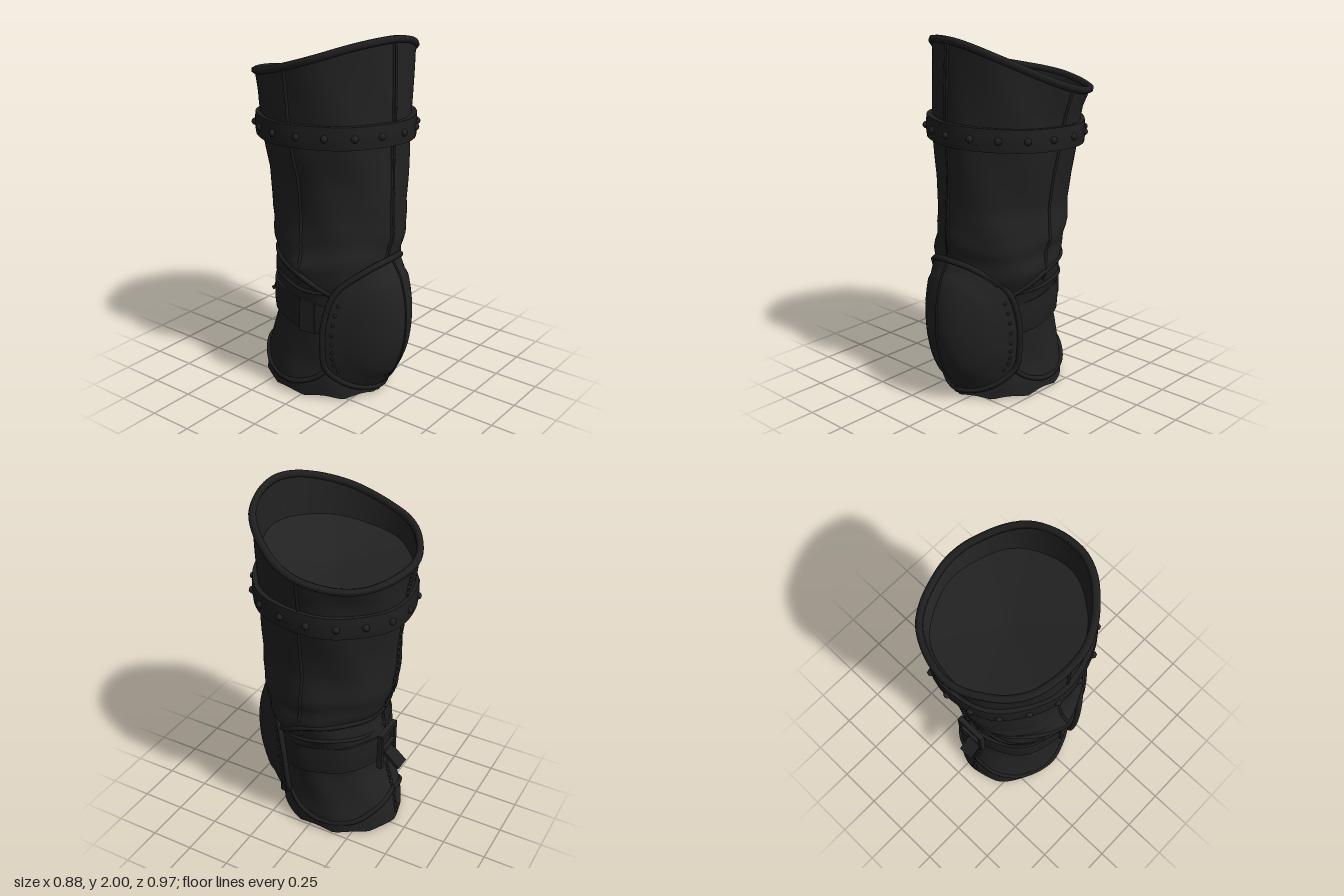
import * as THREE from 'three';
import { toCreasedNormals } from 'three/addons/utils/BufferGeometryUtils.js';

const TAU = Math.PI * 2;
const V = (x, y, z) => new THREE.Vector3(x, y, z);

// Sleeve sections: y, min x, max x, min z, max z
const SECTIONS = [
  [0.0, -0.37, 0.25, -0.42, 0.31], [0.1, -0.375, 0.255, -0.41, 0.31], [0.2, -0.36, 0.24, -0.395, 0.3],
  [0.4, -0.355, 0.24, -0.335, 0.31], [0.6, -0.355, 0.255, -0.33, 0.33], [0.7, -0.385, 0.295, -0.32, 0.35],
  [0.78, -0.395, 0.315, -0.31, 0.36], [0.86, -0.37, 0.31, -0.35, 0.375], [0.95, -0.352, 0.322, -0.38, 0.385],
  [1.1, -0.345, 0.305, -0.395, 0.385], [1.25, -0.35, 0.33, -0.4, 0.385], [1.4, -0.38, 0.36, -0.42, 0.385],
  [1.6, -0.4, 0.385, -0.45, 0.385], [1.85, -0.415, 0.42, -0.468, 0.378],
];
const rimY = (t) => 1.828 + 0.1225 * Math.cos(t) - 0.055 * Math.sin(t) + 0.029 * Math.cos(2 * t);

// Point on the sleeve at angle t (0 = front, rising towards +x)
function onSleeve(t, y, off = 0) {
  let i = 0;
  while (i < SECTIONS.length - 2 && SECTIONS[i + 1][0] < y) i++;
  const a = SECTIONS[i], b = SECTIONS[i + 1];
  const k = THREE.MathUtils.clamp((y - a[0]) / (b[0] - a[0]), 0, 1);
  const [, x0, x1, z0, z1] = a.map((v, n) => v + (b[n] - v) * k);
  const fold = Math.exp(-(((y - 0.82) / 0.17) ** 2));
  const wrinkle = fold * 0.007 * Math.sin(y * 42 + 2.2 * Math.sin(t * 2)) + 0.004 * Math.sin(t * 7 + y * 9);
  const o = off + wrinkle;
  // the top part is stretched to meet the slanted rim
  const yy = y > 1.6 ? 1.6 + (y - 1.6) * (rimY(t) - 1.6) / 0.25 : y;
  return V((x0 + x1) / 2 + ((x1 - x0) / 2 + o) * Math.sin(t), yy, (z0 + z1) / 2 + ((z1 - z0) / 2 + o) * Math.cos(t));
}

// Surface from a rule fn(row, column) -> Vector3
function grid(rows, cols, fn, crease = 0.7) {
  const pos = [], idx = [];
  for (let i = 0; i <= rows; i++) for (let j = 0; j <= cols; j++) pos.push(...fn(i, j).toArray());
  for (let i = 0; i < rows; i++) for (let j = 0; j < cols; j++) {
    const a = i * (cols + 1) + j, c = a + cols + 1;
    idx.push(a, a + 1, c + 1, a, c + 1, c);
  }
  const g = new THREE.BufferGeometry();
  g.setAttribute('position', new THREE.Float32BufferAttribute(pos, 3));
  g.setIndex(idx);
  return toCreasedNormals(g, crease);
}

const tube = (pts, r, closed = false, n = 48) =>
  new THREE.TubeGeometry(new THREE.CatmullRomCurve3(pts, closed), n, r, 6, closed);

export function createModel() {
  const group = new THREE.Group();
  const mat = (name, color, side = THREE.FrontSide) => {
    const m = new THREE.MeshStandardMaterial({ color, side });
    m.name = name;
    return m;
  };
  const leather = mat('dark leather', 0x222222, THREE.DoubleSide);
  const trim = mat('trim leather', 0x1f1f1f, THREE.DoubleSide);
  const metal = mat('dark metal', 0x212121);
  const add = (name, geo, m, parent = group) => {
    const mesh = new THREE.Mesh(geo, m);
    mesh.name = name;
    parent.add(mesh);
    return mesh;
  };
  const addGroup = (name) => {
    const g = new THREE.Group();
    g.name = name;
    group.add(g);
    return g;
  };

  // Sleeve, open below, with a ragged hem
  const cols = 96, rows = 46;
  add('sleeve', grid(rows, cols, (i, j) => {
    const p = onSleeve(j / cols * TAU, 0.03 + 1.82 * i / rows);
    if (i === 0) p.y = 0.008 + 0.018 * Math.abs(Math.sin((j % cols) * 12.9));
    return p;
  }), leather);

  // Lining: a short wall inside the rim, then a shallow sagging panel
  add('lining', grid(8, 48, (i, j) => {
    const t = j / 48 * TAU;
    if (i < 3) return onSleeve(t, 1.85 - 0.075 * i, -0.012 - 0.008 * i);
    const p = onSleeve(t, 1.7, -0.028), k = (i - 2) / 6;
    return V(p.x * (1 - k), p.y + (1.63 - p.y) * k, p.z + (-0.04 - p.z) * k);
  }), leather);

  // Rolled welt around the rim
  const rim = [];
  for (let j = 0; j < 24; j++) rim.push(onSleeve(j / 24 * TAU, 1.85, -0.002));
  add('rimWelt', tube(rim, 0.02, true, 72), trim);

  // Strap wrapped on the sleeve from angle t0 to t1
  const strap = (name, t0, t1, midY, h, d) => add(name, grid(5, 60, (i, j) => {
    const t = t0 + (t1 - t0) * j / 60;
    const [off, dy] = [[-0.01, -h], [d, -h], [d + 0.004, -h * 0.4], [d + 0.004, h * 0.4], [d, h], [-0.01, h]][i];
    const p = onSleeve(t, midY(t), off);
    p.y += dy;
    return p;
  }, 0.6), trim);

  // Studded upper strap
  const upperY = (t) => 1.498 + 0.013 * Math.cos(t) - 0.01 * Math.sin(t);
  strap('upperStrap', 0, TAU, upperY, 0.06, 0.03);
  const studs = addGroup('strapStuds');
  for (let j = 0; j < 18; j++) {
    const t = (j + 0.9) / 18 * TAU;
    const s = add('stud', new THREE.SphereGeometry(0.02, 8, 6), metal, studs);
    s.position.copy(onSleeve(t, upperY(t), 0.033));
  }

  // Lower strap behind the knee with its buckle, loose end and side clasp
  const lowerY = (t) => 0.51 - 0.045 * Math.cos(t);
  strap('lowerStrap', 1.0, TAU - 1.0, lowerY, 0.085, 0.012);
  const buckle = addGroup('buckle');
  for (const s of [-1, 1]) {
    add('buckleSide', new THREE.BoxGeometry(0.025, 0.22, 0.03), metal, buckle).position.set(s * 0.08, 0, 0);
    add('buckleBar', new THREE.BoxGeometry(0.18, 0.025, 0.03), metal, buckle).position.set(0, s * 0.1, 0);
  }
  add('bucklePin', new THREE.BoxGeometry(0.14, 0.018, 0.025), metal, buckle).position.z = -0.008;
  buckle.position.set(-0.01, 0.57, -0.36);
  const tail = add('strapEnd', new THREE.BoxGeometry(0.09, 0.13, 0.02), trim);
  tail.position.set(-0.04, 0.475, -0.395);
  tail.rotation.x = 0.85;
  const clasp = add('sideClasp', new THREE.BoxGeometry(0.09, 0.18, 0.016), metal);
  clasp.position.copy(onSleeve(-1.4, lowerY(-1.4), 0.01));
  clasp.rotation.y = -1.4;

  // Knee pad: a dome spanned over a wrapped outline, with a raised middle
  const half = [[0, 0.825, 0.385], [0.16, 0.785, 0.33], [0.27, 0.67, 0.215], [0.305, 0.5, 0.165],
    [0.3, 0.32, 0.15], [0.275, 0.2, 0.155], [0.17, 0.09, 0.26], [0, 0.05, 0.325]];
  const cx = -0.06;
  const outline = half.map(([x, y, z]) => V(cx + x, y, z))
    .concat(half.slice(1, -1).reverse().map(([x, y, z]) => V(cx - x, y, z)));
  const edge = new THREE.CatmullRomCurve3(outline, true);
  const onPad = (u, r) => {
    const e = edge.getPoint(u % 1);
    const step = 0.014 * THREE.MathUtils.smoothstep(0.82 - r, 0, 0.06);
    return V(cx + (e.x - cx) * r, 0.48 + (e.y - 0.48) * r, e.z + (0.469 - e.z) * (1 - r ** 2.2) + step);
  };
  add('kneePad', grid(16, 48, (i, j) => onPad(j / 48, i / 16)), leather);
  add('kneePadWelt', tube(outline, 0.018, true, 80), trim);
  const rivets = addGroup('kneePadStitches');
  for (const s of [0, 1]) for (let k = 0; k < 9; k++) {
    const u = 0.17 + 0.2 * k / 8;
    add('stitch', new THREE.SphereGeometry(0.01, 6, 4), trim, rivets).position.copy(onPad(s ? 1 - u : u, 0.93));
  }
  const padSeam = [];
  for (let k = 0; k <= 8; k++) padSeam.push(onPad(k < 4 ? 0 : 0.5, Math.abs(k - 4) / 4));
  add('kneePadSeam', tube(padSeam, 0.006), trim);

  // Vertical seams: front, both sides and back
  const seam = (name, t, y0, y1, r) => {
    const pts = [];
    for (let k = 0; k <= 20; k++) pts.push(onSleeve(t, y0 + (y1 - y0) * k / 20));
    add(name, tube(pts, r), trim);
  };
  for (const d of [-0.02, 0.02]) seam('frontSeam', -0.13 + d, 0.82, 1.84, 0.008);
  seam('leftSeam', Math.PI / 2, 0.7, 1.84, 0.009);
  seam('rightSeam', -Math.PI / 2, 0.7, 1.84, 0.009);
  seam('backSeam', Math.PI, 0.05, 1.84, 0.008);

  // Beaded stitching down the back
  const beads = addGroup('backStitches');
  for (let k = 0; k < 42; k++) {
    const b = add('bead', new THREE.SphereGeometry(0.012, 6, 4), trim, beads);
    b.position.copy(onSleeve(Math.PI, 0.06 + k * 0.042, 0.002));
    b.scale.x = 1.5;
  }

  // Piped folds beside the knee and piping around the heel, on both sides
  const piping = (name, path, r) => {
    for (const s of [1, -1]) add(name, tube(path.map(([t, y]) => onSleeve(s * t, y, 0.002)), r), trim);
  };
  piping('kneeFold', [[1.0, 0.64], [1.3, 0.7], [1.6, 0.76], [2.1, 0.79], [2.7, 0.8], [Math.PI, 0.79]], 0.015);
  piping('lowerFold', [[1.1, 0.65], [1.5, 0.66], [2.0, 0.69], [2.6, 0.68], [Math.PI, 0.69]], 0.011);
  piping('heelPiping', [[0.95, 0.2], [1.2, 0.13], [1.6, 0.085], [2.2, 0.1], [2.7, 0.18], [Math.PI, 0.22]], 0.015);

  return group;
}
